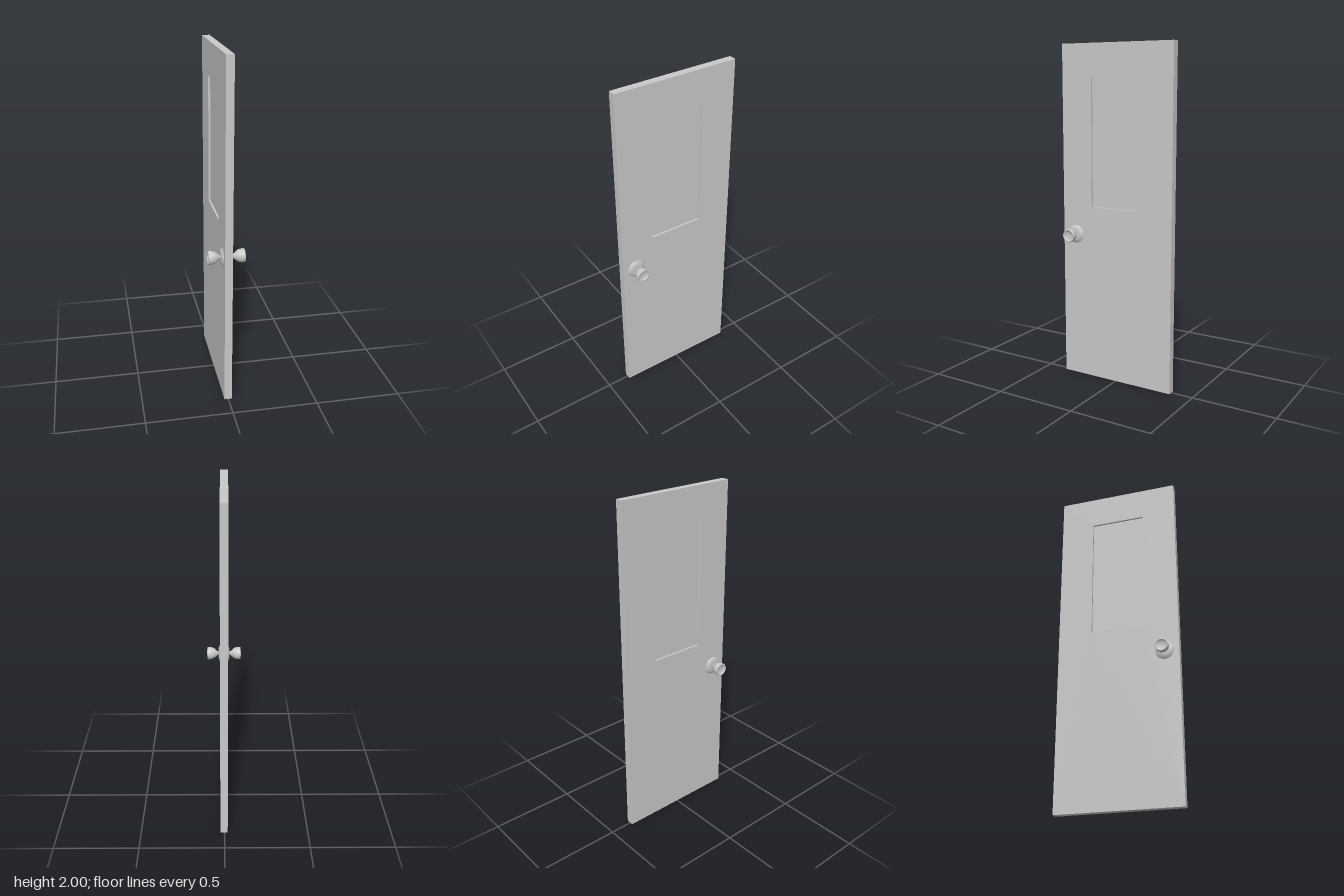
import * as THREE from 'three';

const W = 0.73, H = 2, T = 0.044;

// rectangle outline in (z, y)
function rect(path, z0, z1, y0, y1) {
  path.moveTo(z0, y0);
  path.lineTo(z1, y0);
  path.lineTo(z1, y1);
  path.lineTo(z0, y1);
  path.closePath();
  return path;
}

export function createModel() {
  const root = new THREE.Group();
  root.name = 'door';
  const grey = new THREE.MeshStandardMaterial({ color: 0xc8c8c8 });
  grey.name = 'light grey';

  // slab with a window opening, extruded through its thickness
  const outline = rect(new THREE.Shape(), -W / 2, W / 2, 0, H);
  outline.holes.push(rect(new THREE.Path(), -0.165, 0.16, 1.055, 1.805));
  const slabGeo = new THREE.ExtrudeGeometry(outline, { depth: T, bevelEnabled: false });
  slabGeo.translate(0, 0, -T / 2);
  slabGeo.rotateY(Math.PI / 2); // outline runs along -z
  const slab = new THREE.Mesh(slabGeo, grey);
  slab.name = 'doorSlab';

  // recessed panel filling the opening
  const panel = new THREE.Mesh(new THREE.BoxGeometry(T - 0.024, 0.75, 0.325), grey);
  panel.name = 'recessedPanel';
  panel.position.set(0, 1.43, 0.0025);

  const leaf = new THREE.Group();
  leaf.name = 'doorLeaf';
  leaf.add(slab, panel);
  leaf.rotation.y = -0.005; // the leaf hangs very slightly askew
  leaf.position.x = 0.001;
  root.add(leaf);

  // knob profiles: radius, distance from the door centre
  const profile = (pts) => pts.map(([r, h]) => new THREE.Vector2(r, h));
  const rose = profile([[0.054, 0.018], [0.054, 0.022], [0.048, 0.027], [0.038, 0.032], [0.026, 0.034], [0.01, 0.0345]]);
  const grip = profile([[0.011, 0.031], [0.01, 0.036], [0.014, 0.042], [0.022, 0.05],
    [0.03, 0.06], [0.036, 0.072], [0.039, 0.085], [0.039, 0.1]]);
  const rim = profile([[0.039, 0.1], [0.0375, 0.104], [0.033, 0.104]]);
  const dish = profile([[0.033, 0.104], [0.028, 0.099], [0.018, 0.095], [0, 0.094]]);

  for (const side of [1, -1]) {
    const knob = new THREE.Group();
    knob.name = side > 0 ? 'leftKnob' : 'rightKnob';
    for (const [name, pts] of Object.entries({ rose, grip, rim, dish })) {
      const part = new THREE.Mesh(new THREE.LatheGeometry(pts, 32), grey);
      part.name = name;
      knob.add(part);
    }
    knob.rotation.z = -side * Math.PI / 2;
    knob.position.set(0, 0.882, 0.28);
    root.add(knob);
  }
  return root;
}
